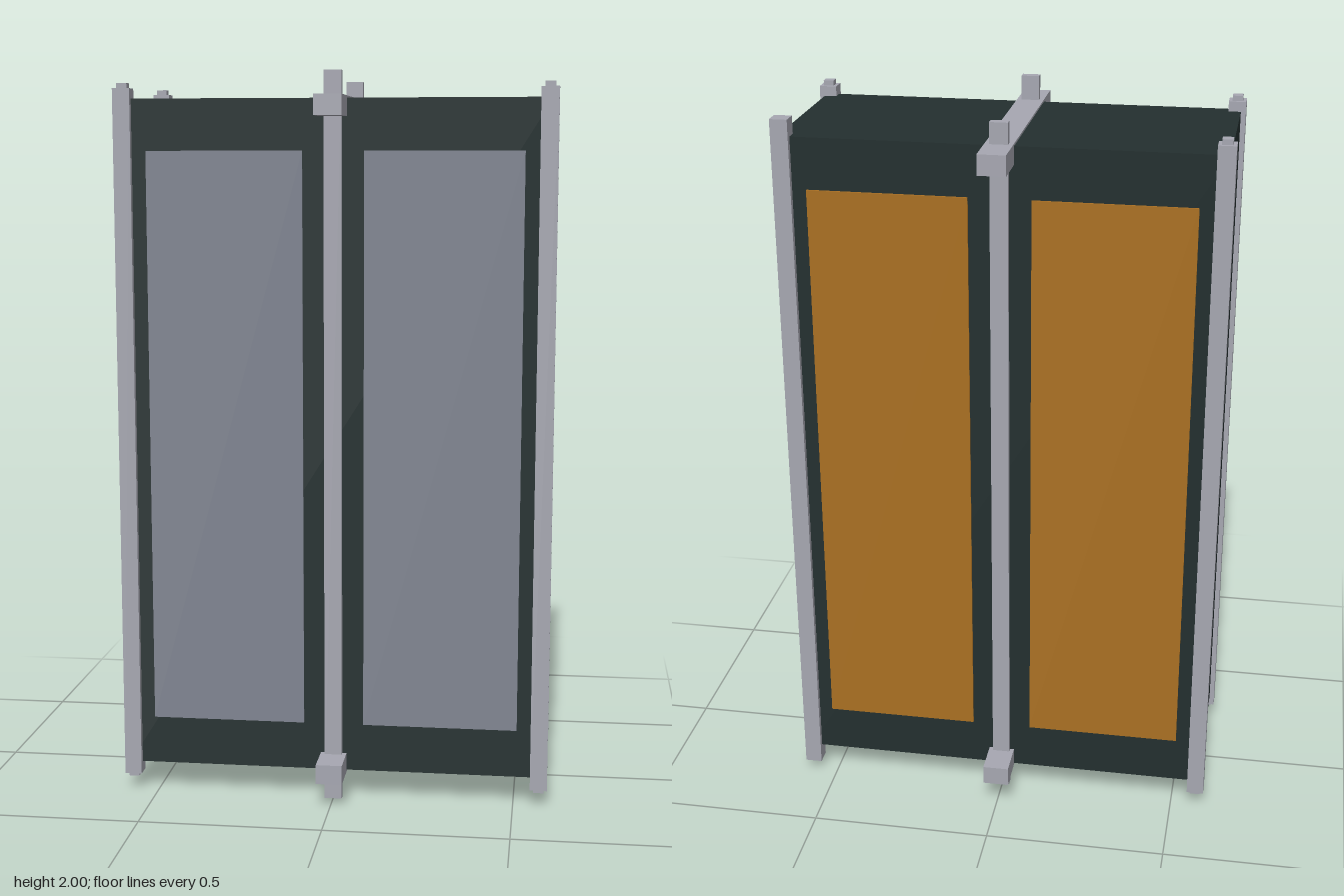
import * as THREE from 'three';

export function createModel() {
  const model = new THREE.Group();
  model.name = 'cabinet';

  const mat = (name, color) => {
    const m = new THREE.MeshStandardMaterial({ color });
    m.name = name;
    return m;
  };
  const dark = mat('dark body', 0x232f2f);
  const metal = mat('light metal', 0xa6a7b1);
  const grey = mat('grey panel', 0x7f8490);
  const amber = mat('amber panel', 0xaa7022);

  // Box given by its lower and upper corners
  const box = (name, material, [x0, y0, z0], [x1, y1, z1]) => {
    const mesh = new THREE.Mesh(new THREE.BoxGeometry(x1 - x0, y1 - y0, z1 - z0), material);
    mesh.position.set((x0 + x1) / 2, (y0 + y1) / 2, (z0 + z1) / 2);
    mesh.name = name;
    model.add(mesh);
  };

  box('body', dark, [-0.58, 0.08, -0.248], [0.58, 1.928, 0.247]);

  // Door panels: grey at the front, amber at the back
  for (const s of [-1, 1]) {
    const x0 = s > 0 ? 0.083 : -0.508;
    const x1 = x0 + 0.425;
    box('frontPanel', grey, [x0, 0.213, 0.245], [x1, 1.79, 0.251]);
    box('backPanel', amber, [x0, 0.213, -0.254], [x1, 1.79, -0.246]);
  }

  // Corner posts: three with stepped ends, one plain and a little longer
  for (const sx of [-1, 1]) {
    for (const sz of [-1, 1]) {
      const x = sx * 0.57, z = sz * 0.24, h = 0.0235, c = 0.014;
      const plain = sx > 0 && sz < 0;
      const y0 = plain ? 0.03 : 0.048;
      const y1 = plain ? 1.975 : 1.955;
      box('cornerPost', metal, [x - h, y0, z - h], [x + h, y1, z + h]);
      if (!plain) box('postCap', metal, [x - c, 0.038, z - c], [x + c, 1.969, z + c]);
    }
  }

  // Centre rails running past the body at both ends
  box('frontRail', metal, [-0.024, 0, 0.238], [0.024, 2, 0.262]);
  box('backRail', metal, [-0.024, 0.015, -0.262], [0.024, 1.99, -0.238]);

  // Cross beams through the top and bottom
  box('topBeam', metal, [-0.037, 1.88, -0.365], [0.037, 1.934, 0.365]);
  box('bottomBeam', metal, [-0.036, 0.074, -0.352], [0.036, 0.128, 0.355]);

  return model;
}
